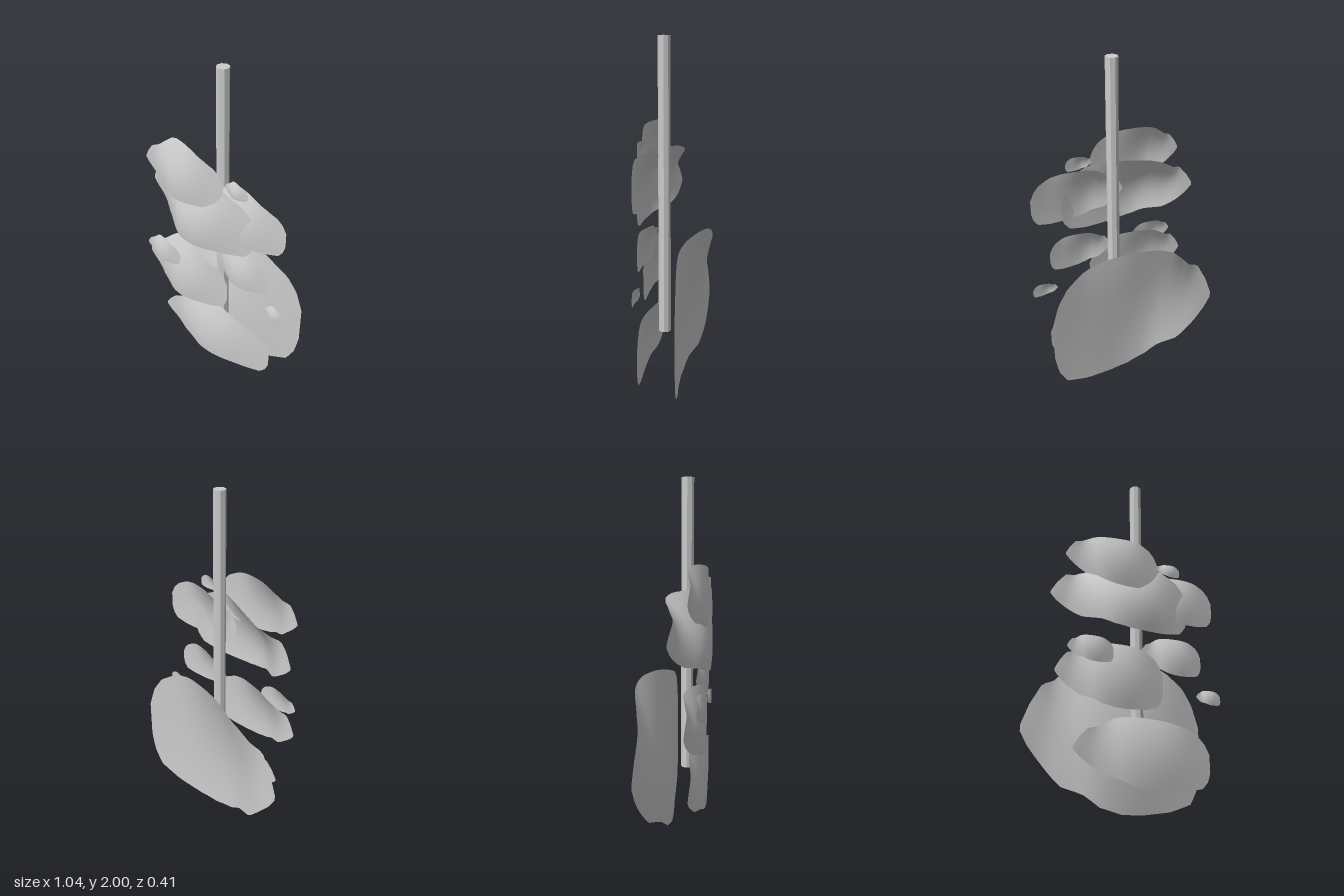
import * as THREE from 'three';

// Shared sheet template, [u, value] pairs across the width: outline and depth (0 front, 1 back)
const lowerEdge = [[0, .44], [.04, .36], [.12, .25], [.2, .14], [.3, .1], [.38, .03], [.5, 0], [.62, .01], [.8, .05], [.93, .11], [.98, .22], [1, .35]];
const upperEdge = [[0, .48], [.04, .61], [.1, .74], [.17, .78], [.24, .87], [.32, .965], [.4, 1], [.52, 1], [.64, .98], [.78, .93], [.9, .84], [.96, .74], [1, .6]];
const lowerDepth = [[0, .865], [.12, .75], [.22, .51], [.36, .14], [.52, .03], [.75, .08], [1, .11]];
const upperDepth = [[0, .865], [.1, .77], [.21, .89], [.31, 1], [.5, .65], [.75, .14], [1, .11]];

// Smooth (Hermite) or straight interpolation through the pairs
function sample(p, u, smooth) {
  let i = 0;
  while (i < p.length - 2 && u > p[i + 1][0]) i++;
  const h = p[i + 1][0] - p[i][0], t = (u - p[i][0]) / h;
  if (!smooth) return THREE.MathUtils.lerp(p[i][1], p[i + 1][1], t);
  const slope = (k) => {
    const a = p[Math.max(k - 1, 0)], b = p[Math.min(k + 1, p.length - 1)];
    return (b[1] - a[1]) / (b[0] - a[0]);
  };
  const t2 = t * t, t3 = t2 * t;
  return (2 * t3 - 3 * t2 + 1) * p[i][1] + (t3 - 2 * t2 + t) * h * slope(i)
    + (3 * t2 - 2 * t3) * p[i + 1][1] + (t3 - t2) * h * slope(i + 1);
}

// Thin wavy sheet filling the given box, its middle bulging forward and its top rolling back
function sheetGeometry([x0, x1, y0, y1, front, back]) {
  const geo = new THREE.PlaneGeometry(1, 1, 40, 20);
  const pos = geo.attributes.position;
  for (let i = 0; i < pos.count; i++) {
    const s = THREE.MathUtils.clamp(pos.getX(i) + .5, 0, 1);
    const u = (1 - Math.cos(Math.PI * s)) / 2;
    const t = THREE.MathUtils.clamp(pos.getY(i) + .5, 0, 1);
    const v = THREE.MathUtils.lerp(sample(lowerEdge, u), sample(upperEdge, u), t);
    const bulge = .08 * Math.sin(Math.PI * t) * Math.sin(Math.PI * u);
    const d = THREE.MathUtils.lerp(sample(lowerDepth, u, true), sample(upperDepth, u, true), t ** 2.1) - bulge;
    pos.setXYZ(i, x0 + (x1 - x0) * u, y0 + (y1 - y0) * v, front + (back - front) * d);
  }
  geo.computeVertexNormals();
  return geo;
}

export function createModel() {
  const group = new THREE.Group();
  const add = (name, geo, mat) => {
    const mesh = new THREE.Mesh(geo, mat);
    mesh.name = name;
    group.add(mesh);
    return mesh;
  };
  const sheetMat = new THREE.MeshStandardMaterial({ color: 0xcccccc, side: THREE.DoubleSide });
  const poleMat = new THREE.MeshStandardMaterial({ color: 0xcccccc, flatShading: true });

  // Eight-sided upright pole
  const pole = add('pole', new THREE.CylinderGeometry(.035, .035, 1.66, 8), poleMat);
  pole.position.set(.041, 1.17, .057);

  // Sheets: x range, y range, front z, back z
  const sheets = {
    largeBackSheet: [-.525, .52, .005, .92, -.02, -.207],
    lowFrontSheet: [-.355, .43, .1, .49, .177, .082],
    middleSheet: [-.465, .14, .495, .88, .18, .065],
    middleSmallSheet: [-.43, -.175, .72, .875, .182, .138],
    middleRightSheet: [.03, .402, .75, .985, .172, .1],
    smallRightSheet: [.37, .52, .615, .705, .18, .15],
    upperSheet: [-.47, .31, .955, 1.395, .204, -.037],
    upperRightSheet: [-.05, .492, 1.065, 1.385, .187, .083],
    topSheet: [-.435, .115, 1.21, 1.543, .184, .083],
    smallTopSheet: [.115, .267, 1.358, 1.445, .182, .15],
  };
  for (const [name, box] of Object.entries(sheets)) add(name, sheetGeometry(box), sheetMat);
  return group;
}
